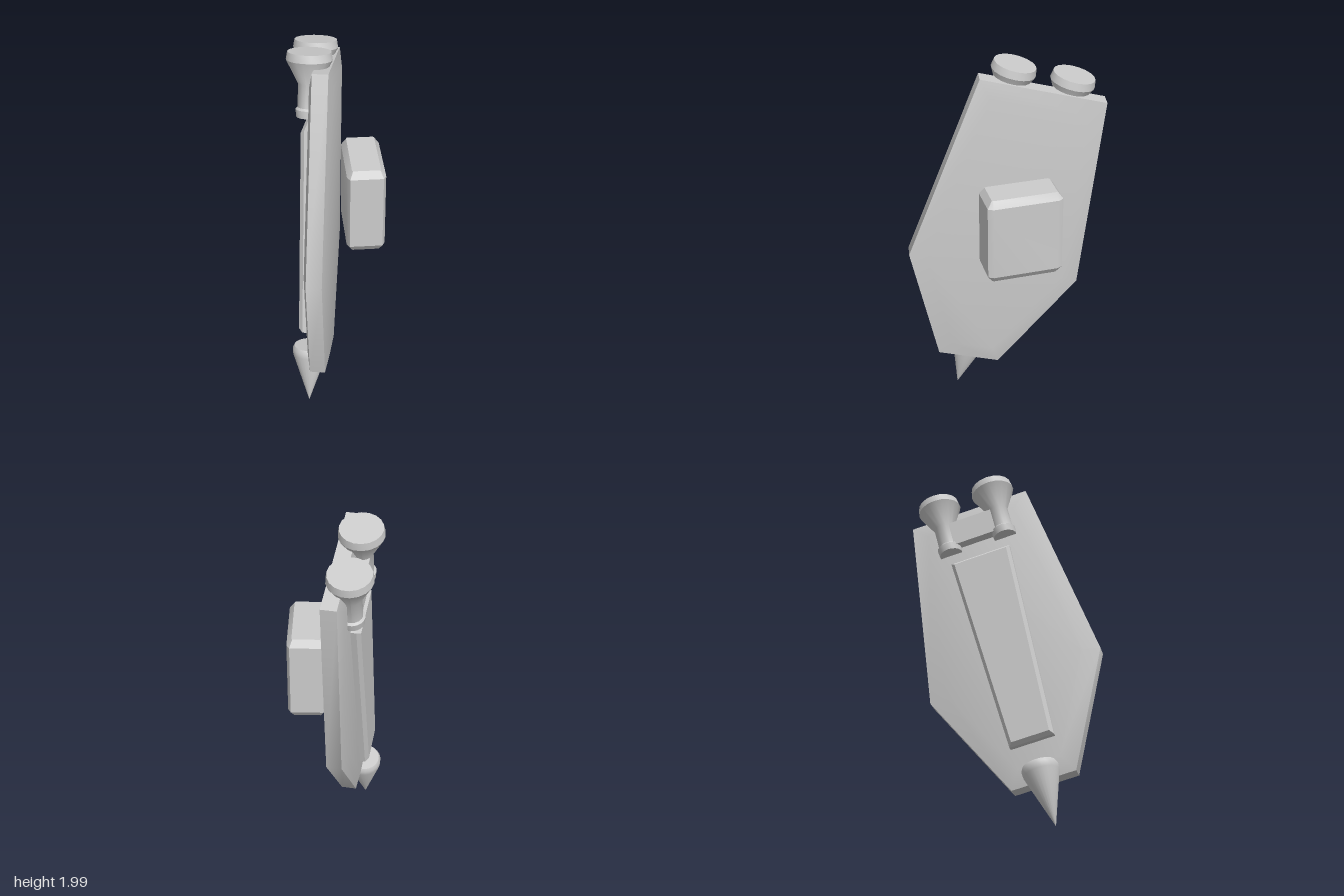
import * as THREE from 'three';
import { toCreasedNormals } from 'three/addons/utils/BufferGeometryUtils.js';

const grey = new THREE.MeshStandardMaterial({ color: 0xcccccc });
grey.name = 'light grey';

function part(name, geometry, parent) {
  const mesh = new THREE.Mesh(toCreasedNormals(geometry, 0.6), grey);
  mesh.name = name;
  parent.add(mesh);
  return mesh;
}

// Extruded outline whose bevels stay inside the outline, centred on its depth
function slab(points, depth, bevelSize, bevelThickness) {
  const shape = new THREE.Shape(points.map(([x, y]) => new THREE.Vector2(x, y)));
  const geometry = new THREE.ExtrudeGeometry(shape, {
    depth, bevelEnabled: true, bevelSegments: 1, bevelSize, bevelThickness, bevelOffset: -bevelSize,
  });
  return geometry.translate(0, 0, -depth / 2);
}

// Half outline (right side, bottom to top) mirrored into a closed outline
const mirrored = (half) => [...half, ...half.map(([x, y]) => [-x, y]).reverse()];

const lathe = (profile, sides) =>
  new THREE.LatheGeometry(profile.map(([r, y]) => new THREE.Vector2(r, y)), sides);

export function createModel() {
  const model = new THREE.Group();
  model.name = 'armShield';

  // Leaning frame: local z is the outer side, local y runs up the shield
  const shield = new THREE.Group();
  shield.name = 'shield';
  shield.position.set(-0.105, 0.064, 0.253);
  shield.rotation.set(0, THREE.MathUtils.degToRad(80), THREE.MathUtils.degToRad(-14));
  model.add(shield);

  // Six-sided plate with softly raised faces
  part('shieldPlate', slab(mirrored([[0.169, 0.188], [0.464, 0.787], [0.331, 1.849]]), 0.081, 0.09, 0.02), shield);

  // Tapered rail on the inner face
  const rail = part('innerRail', slab(mirrored([[0.117, 0.39], [0.165, 1.52]]), 0.06, 0.018, 0.02), shield);
  rail.position.z = -0.06;

  // Two thrusters joined by a block
  const thruster = [
    [0, -0.33], [0.062, -0.33], [0.066, -0.29], [0.055, -0.28], [0.055, -0.16],
    [0.117, -0.04], [0.11, 0], [0, 0],
  ];
  for (const side of [-1, 1]) {
    const mesh = part(side < 0 ? 'frontThruster' : 'backThruster', lathe(thruster, 18), shield);
    mesh.position.set(side * 0.155, 1.922, -0.071);
  }
  const block = part('thrusterBlock', new THREE.BoxGeometry(0.24, 0.14, 0.075), shield);
  block.position.set(0, 1.69, -0.077);

  // Spike below the plate
  const spike = part('spike', lathe([[0, -0.065], [0.093, 0.22], [0.095, 0.25], [0.086, 0.268], [0, 0.268]], 24), shield);
  spike.position.z = -0.058;

  // Upright bevelled mounting box on the outer side
  const outline = mirrored([[0.085, -0.198], [0.1, -0.17], [0.1, 0.17], [0.085, 0.198]]);
  const mount = part('mountingBox', slab(outline, 0.405, 0.026, 0.037).rotateX(-Math.PI / 2), model);
  mount.position.set(0.148, 1.158, -0.023);

  return model;
}
